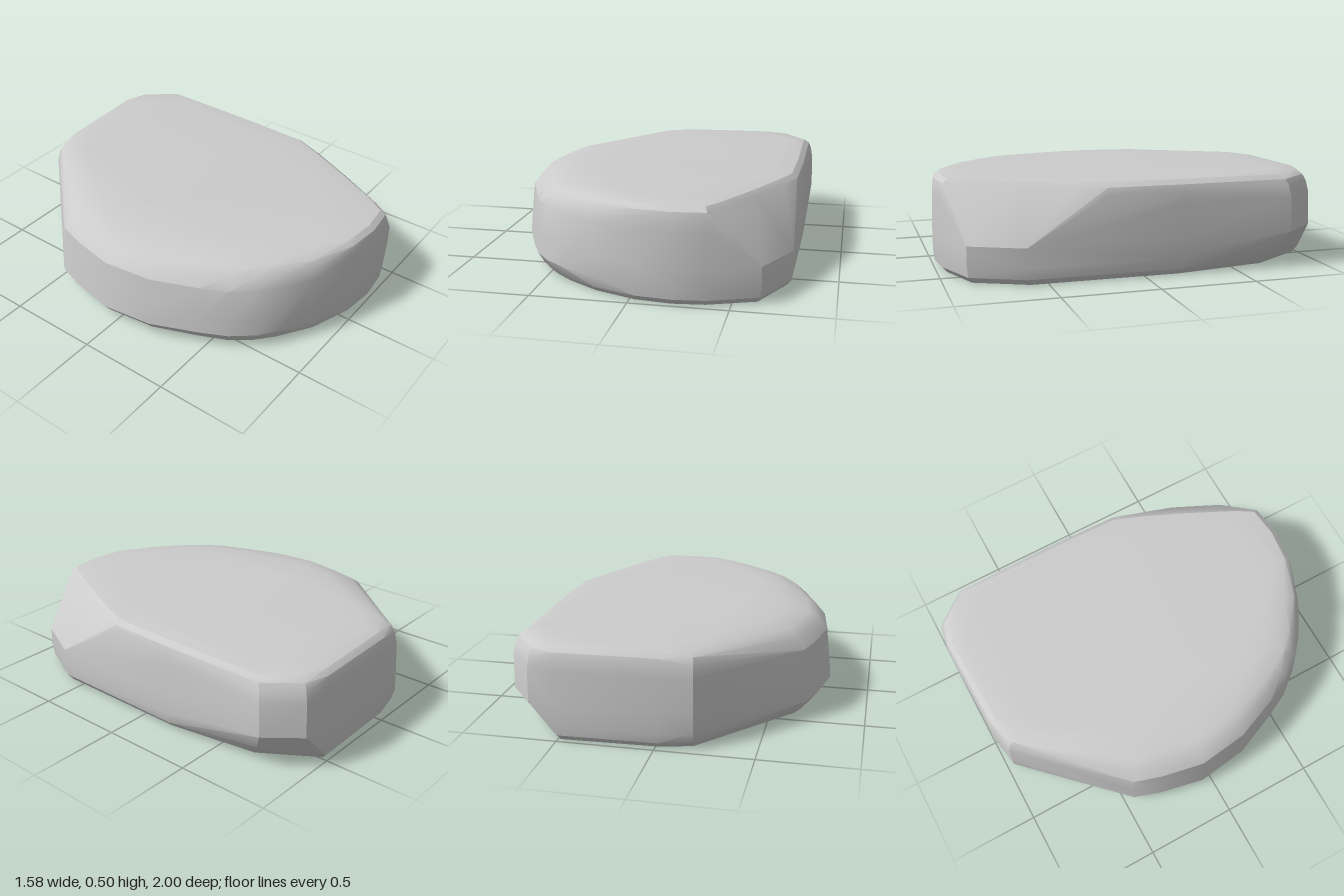
import * as THREE from 'three';
import { ConvexGeometry } from 'three/addons/geometries/ConvexGeometry.js';
import { toCreasedNormals } from 'three/addons/utils/BufferGeometryUtils.js';

// Plan of the stone at its widest, as [x, z]
const outline = [
  [0.77, 0.2], [0.78, -0.2], [0.785, -0.8], [0.645, -0.975], [0.5, -1], [-0.02, -0.99],
  [-0.19, -0.96], [-0.69, -0.45], [-0.74, -0.3], [-0.79, -0.06], [-0.755, 0.22], [-0.65, 0.47],
  [-0.58, 0.61], [-0.49, 0.72], [-0.39, 0.8], [-0.2, 0.91], [0.03, 0.98], [0.22, 1], [0.39, 0.98],
];

// Corner left standing below the slanting cut at the front, and the cut's upper edge
const lowCorner = [[0.64, 0.885], [0.77, 0.61]];
const cutEdge = [[0.45, 0.89], [0.59, 0.62], [0.71, 0.36]];

// Levels from underside to top: how far the plan draws in all round,
// further on the left, and further at the back corner
const levels = [
  { y: 0, inset: 0.035, left: 0.05, corner: 0.13 },
  { y: 0.03, inset: 0.008, left: 0.04, corner: 0.11 },
  { y: 0.09, inset: 0, left: 0, corner: 0.07 },
  { y: 0.19, inset: 0, left: 0.01, corner: 0 },
  { y: 0.37, inset: 0.005, left: 0.025, corner: 0 },
  { y: 0.43, inset: 0.01, left: 0.07, corner: 0.01 },
  { y: 0.465, inset: 0.02, left: 0.12, corner: 0.02 },
  { y: 0.488, inset: 0.05, left: 0.23, corner: 0.03 },
  { y: 0.497, inset: 0.13, left: 0.33, corner: 0.05 },
];

// Points of one level, each moved toward the centre by its inset
function levelPoints({ y, inset, left, corner }) {
  const extra = y < 0.2 ? lowCorner : y > 0.44 ? cutEdge : [];
  return [...outline, ...extra].map(([x, z]) => {
    const atBackCorner = x > 0.6 && z < -0.7;
    const drawIn = inset + left * Math.max(0, -x / 0.79) + (atBackCorner ? corner : 0);
    const scale = 1 - drawIn / Math.hypot(x, z);
    return new THREE.Vector3(x * scale, y, z * scale);
  });
}

export function createModel() {
  const group = new THREE.Group();
  group.name = 'rock';

  // One convex skin wraps all the levels, giving chipped facets
  const skin = new ConvexGeometry(levels.flatMap(levelPoints));
  const stone = new THREE.Mesh(
    toCreasedNormals(skin, 0.45),
    new THREE.MeshStandardMaterial({ color: 0xcccccc }),
  );
  stone.name = 'stone';
  group.add(stone);
  return group;
}
